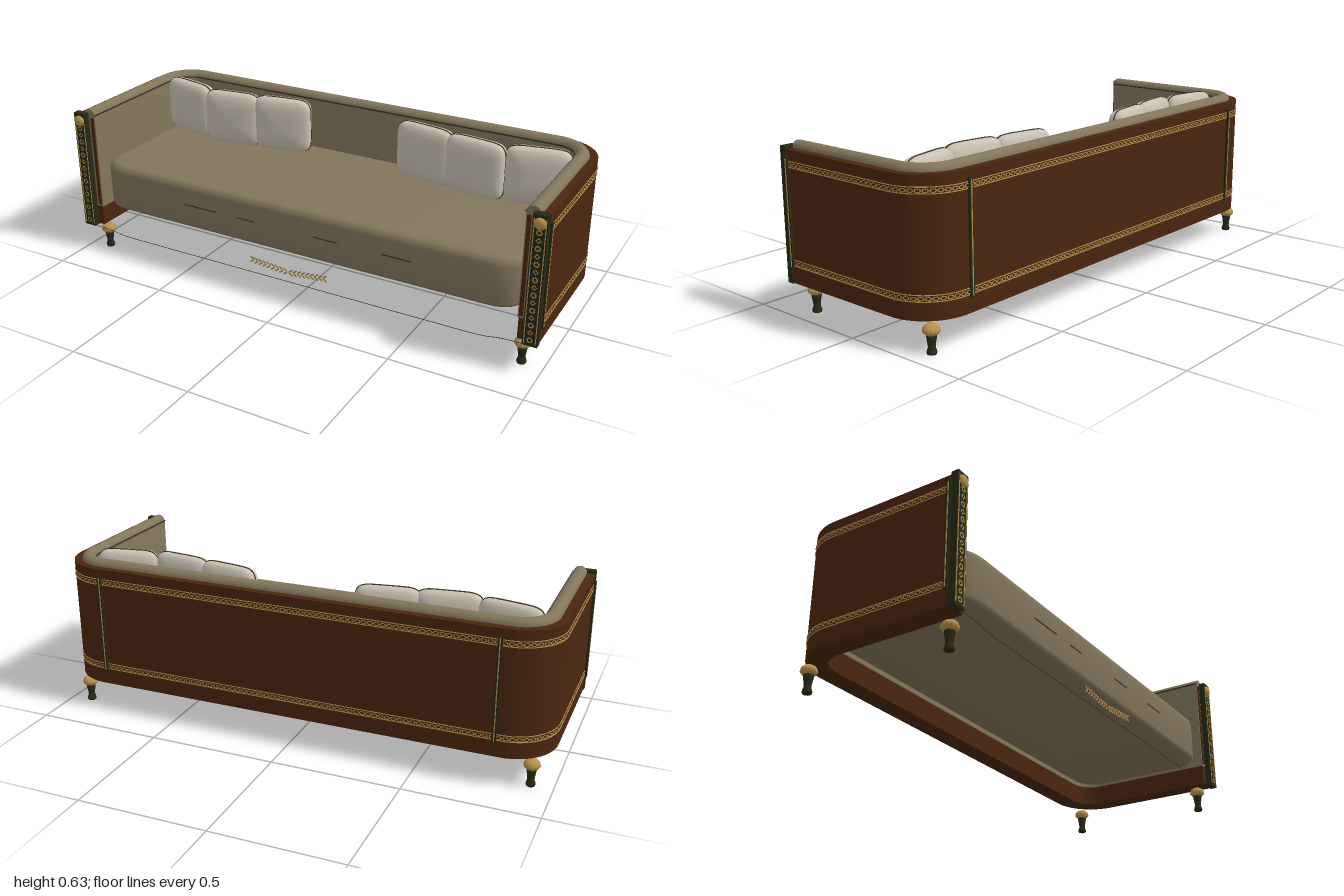
import * as THREE from 'three';
import { mergeGeometries, toCreasedNormals } from 'three/addons/utils/BufferGeometryUtils.js';

const mat = (name, color, side = THREE.FrontSide) => {
  const m = new THREE.MeshStandardMaterial({ color, side });
  m.name = name;
  return m;
};

// U-shaped plan of the sofa shell: half width, corner radius, front and back z
const W = 0.985, R = 0.175, ZF = 0.33, ZB = -0.355;
const L1 = ZF - ZB - R, LA = R * Math.PI / 2, T = 2 * (L1 + LA + W - R);

// Point and outward normal at arc length s, from the left front end round to the right
function at(s) {
  if (s > T / 2) {
    const m = at(T - s);
    return { x: -m.x, z: m.z, nx: -m.nx, nz: m.nz };
  }
  if (s <= L1) return { x: W, z: ZF - s, nx: 1, nz: 0 };
  if (s < L1 + LA) {
    const a = (s - L1) / R, nx = Math.cos(a), nz = -Math.sin(a);
    return { x: W - R + R * nx, z: ZB + R + R * nz, nx, nz };
  }
  return { x: W - R - (s - L1 - LA), z: ZB, nx: 0, nz: -1 };
}

// Sweep a closed convex profile of [inset, y] points round the U
function sweep(profile) {
  const half = [0];
  for (let i = 0; i <= 14; i++) half.push(L1 + LA * i / 14);
  const stations = [...half, ...half.map(s => T - s).reverse()];
  const pos = [], idx = [], n = profile.length;
  for (const s of stations) {
    const p = at(s);
    for (const [d, y] of profile) pos.push(p.x - p.nx * d, y, p.z - p.nz * d);
  }
  const last = (stations.length - 1) * n;
  for (let i = 0; i < stations.length - 1; i++) {
    for (let k = 0; k < n; k++) {
      const a = i * n + k, b = i * n + (k + 1) % n;
      idx.push(a, a + n, b, b, a + n, b + n);
    }
  }
  for (let k = 1; k < n - 1; k++) idx.push(0, k, k + 1, last, last + k + 1, last + k);
  const g = new THREE.BufferGeometry();
  g.setAttribute('position', new THREE.Float32BufferAttribute(pos, 3));
  g.setIndex(idx);
  return toCreasedNormals(g, 0.6);
}
const rect = (d0, d1, y0, y1) => [[d1, y0], [d0, y0], [d0, y1], [d1, y1]];

// Soft square cushion: a flat box inflated towards its middle
function pillowGeometry(w, h, t) {
  const g = new THREE.SphereGeometry(1, 40, 28);
  g.rotateX(Math.PI / 2);
  const p = g.attributes.position;
  const pw = (v, e) => Math.sign(v) * Math.pow(Math.abs(v), e);
  for (let i = 0; i < p.count; i++) {
    const x = p.getX(i), y = p.getY(i), z = p.getZ(i), r = Math.hypot(x, y) || 1;
    const c = x / r, s = y / r, rad = Math.pow(Math.min(r, 1), 0.75);
    p.setXYZ(i, pw(c, 0.35) * rad * w / 2, pw(s, 0.35) * rad * h / 2, pw(z, 0.6) * t / 2);
  }
  g.computeVertexNormals();
  return g;
}
function pipingGeometry(w, h) {
  const pts = [], pw = v => Math.sign(v) * Math.pow(Math.abs(v), 0.35);
  for (let i = 0; i < 48; i++) {
    const a = i / 48 * Math.PI * 2;
    pts.push(new THREE.Vector3(pw(Math.cos(a)) * w / 2, pw(Math.sin(a)) * h / 2, 0));
  }
  return new THREE.TubeGeometry(new THREE.CatmullRomCurve3(pts, true), 96, 0.003, 5, true);
}

export function createModel() {
  const wood = mat('walnut wood', 0x4a2610);
  const fabric = mat('khaki upholstery', 0x82765c);
  const cream = mat('cream cushion', 0xc9c1b3);
  const green = mat('dark green lacquer', 0x262a14);
  const gold = mat('gold trim', 0xb8924c, THREE.DoubleSide);
  const dark = mat('dark piping', 0x3a3226);

  const root = new THREE.Group();
  const add = (name, geo, m, x = 0, y = 0, z = 0, parent = root) => {
    const mesh = new THREE.Mesh(geo, m);
    mesh.name = name;
    mesh.position.set(x, y, z);
    parent.add(mesh);
    return mesh;
  };

  // Wooden shell and its inner base rail
  add('woodShell', sweep(rect(0, 0.034, 0.118, 0.6)), wood);
  add('innerRail', sweep(rect(0.033, 0.078, 0.118, 0.2)), wood);

  // Padded lining with a rounded top roll
  const roll = [[0.082, 0.2], [0.03, 0.2]];
  for (let i = 0; i <= 10; i++) {
    const a = i / 10 * Math.PI;
    roll.push([0.056 - 0.026 * Math.cos(a), 0.599 + 0.026 * Math.sin(a)]);
  }
  add('paddedLining', sweep(roll), fabric);
  add('liningPiping', sweep(rect(0.08, 0.085, 0.598, 0.603)), dark);

  // Seat cushion with rounded corners and soft edges
  const b = 0.032, sx = 0.9 - b, z0 = -0.27 + b, z1 = 0.325 - b, c = 0.09;
  const plan = new THREE.Shape();
  plan.moveTo(-sx + c, -z1);
  plan.lineTo(sx - c, -z1);
  plan.quadraticCurveTo(sx, -z1, sx, -z1 + c * 0.7);
  plan.lineTo(sx, -z0 - c);
  plan.quadraticCurveTo(sx, -z0, sx - c, -z0);
  plan.lineTo(-sx + c, -z0);
  plan.quadraticCurveTo(-sx, -z0, -sx, -z0 - c);
  plan.lineTo(-sx, -z1 + c * 0.7);
  plan.quadraticCurveTo(-sx, -z1, -sx + c, -z1);
  const seat = new THREE.ExtrudeGeometry(plan, { depth: 0.2 - 2 * b, bevelThickness: b, bevelSize: b, bevelSegments: 6, curveSegments: 10 });
  seat.rotateX(-Math.PI / 2);
  add('seatCushion', toCreasedNormals(seat, 0.7), fabric, 0, 0.2 + b, 0);
  for (const [x, w] of [[-0.41, 0.15], [-0.2, 0.08], [0.15, 0.1], [0.44, 0.12]]) {
    add('seatSeam', new THREE.BoxGeometry(w, 0.004, 0.004), dark, x, 0.305, 0.325);
  }

  // Three loose cushions at each end
  const pillow = pillowGeometry(0.25, 0.226, 0.085), piping = pipingGeometry(0.25, 0.226);
  for (const side of [-1, 1]) {
    for (const [x, z, turn] of [[0.78, -0.158, 0.2], [0.545, -0.13, -0.13], [0.325, -0.165, -0.16]]) {
      const g = new THREE.Group();
      g.name = 'looseCushion';
      g.position.set(side * x, 0.511, z);
      g.rotation.y = side * turn;
      add('cushionBody', pillow, cream, 0, 0, 0, g);
      add('cushionPiping', piping, dark, 0, 0, 0, g);
      root.add(g);
    }
  }

  // Two gold chain bands round the outside
  const links = [];
  for (const y of [0.549, 0.194]) {
    add('bandLine', sweep(rect(-0.002, 0.001, y + 0.0095, y + 0.0125)), gold);
    add('bandLine', sweep(rect(-0.002, 0.001, y - 0.0125, y - 0.0095)), gold);
    for (let s = 0.024; s < T - 0.012; s += 0.024) {
      const p = at(s), ring = new THREE.RingGeometry(0.0045, 0.0075, 10);
      ring.scale(1.6, 1, 1);
      ring.rotateY(Math.atan2(p.nx, p.nz));
      ring.translate(p.x + p.nx * 0.003, y, p.z + p.nz * 0.003);
      links.push(ring);
    }
  }
  add('bandChain', mergeGeometries(links), gold);

  // Upright strips on the sides and across the back
  const sBack = L1 + LA + 0.02;
  for (const s of [0.009, sBack, T - sBack, T - 0.009]) {
    const p = at(s), g = new THREE.Group();
    g.name = 'uprightStrip';
    g.position.set(p.x, 0.375, p.z);
    g.rotation.y = Math.atan2(p.nx, p.nz);
    add('stripBody', new THREE.BoxGeometry(0.016, 0.4, 0.018), green, 0, 0, 0, g);
    add('stripLine', new THREE.BoxGeometry(0.004, 0.39, 0.002), gold, 0, 0, 0.0095, g);
    root.add(g);
  }

  // Front posts with ornament and rosette
  const orn = [];
  for (let i = 0; i < 15; i++) {
    const ring = new THREE.RingGeometry(0.006, 0.011, i % 2 ? 4 : 12);
    ring.translate(0, 0.14 + i * 0.029, 0);
    orn.push(ring);
  }
  const ornament = mergeGeometries(orn);
  const rosette = new THREE.SphereGeometry(0.022, 18, 10);
  rosette.scale(1, 1, 0.5);

  // Turned leg profiles
  const v = a => a.map(([r, y]) => new THREE.Vector2(r, y));
  const stem = new THREE.LatheGeometry(v([[0, 0], [0.016, 0], [0.018, 0.006], [0.016, 0.014], [0.0125, 0.024], [0.0145, 0.04], [0.018, 0.06], [0.019, 0.07], [0, 0.072]]), 24);
  const knob = new THREE.LatheGeometry(v([[0, 0.066], [0.017, 0.066], [0.025, 0.072], [0.03, 0.08], [0.029, 0.088], [0.024, 0.096], [0.017, 0.102], [0, 0.102]]), 56);
  const kp = knob.attributes.position;
  for (let i = 0; i < kp.count; i++) {
    const f = 1 + 0.035 * Math.cos(14 * Math.atan2(kp.getZ(i), kp.getX(i)));
    kp.setXYZ(i, kp.getX(i) * f, kp.getY(i), kp.getZ(i) * f);
  }
  knob.computeVertexNormals();

  for (const side of [-1, 1]) {
    const x = side * 0.96;
    add('frontPost', new THREE.BoxGeometry(0.054, 0.495, 0.028), green, x, 0.3625, 0.341);
    add('postOrnament', ornament, gold, x, 0, 0.357);
    for (const dx of [-0.021, 0.021]) add('postLine', new THREE.BoxGeometry(0.003, 0.47, 0.003), gold, x + dx, 0.36, 0.3555);
    add('rosette', rosette, gold, x, 0.578, 0.356);
    add('innerPostTrim', new THREE.BoxGeometry(0.014, 0.38, 0.012), wood, side * 0.915, 0.4, 0.328);
    for (const z of [0.29, -0.297]) {
      const leg = new THREE.Group();
      leg.name = 'leg';
      leg.position.set(side * 0.918, 0, z);
      add('legStem', stem, green, 0, 0, 0, leg);
      add('legKnob', knob, gold, 0, 0, 0, leg);
      root.add(leg);
    }
  }

  // Fine front bead and the leaf spray above it
  const bead = new THREE.CatmullRomCurve3([[-0.96, 0.114], [-0.86, 0.112], [-0.79, 0.102], [-0.6, 0.1], [0, 0.1], [0.6, 0.1], [0.79, 0.102], [0.86, 0.112], [0.96, 0.114]].map(([x, y]) => new THREE.Vector3(x, y, 0.348)));
  add('frontBead', new THREE.TubeGeometry(bead, 60, 0.0012, 5), dark);
  const leaves = [];
  for (const side of [-1, 1]) {
    for (let i = 0; i < 9; i++) {
      for (const up of [-1, 1]) {
        const leaf = new THREE.CircleGeometry(0.012, 8);
        leaf.scale(1, 0.3, 1);
        leaf.rotateZ(side * up * 0.6);
        leaf.translate(side * (0.012 + i * 0.0185), 0.14 + i * 0.0018 + up * 0.007, 0.346);
        leaves.push(leaf);
      }
    }
  }
  add('leafSpray', mergeGeometries(leaves), gold);

  return root;
}
